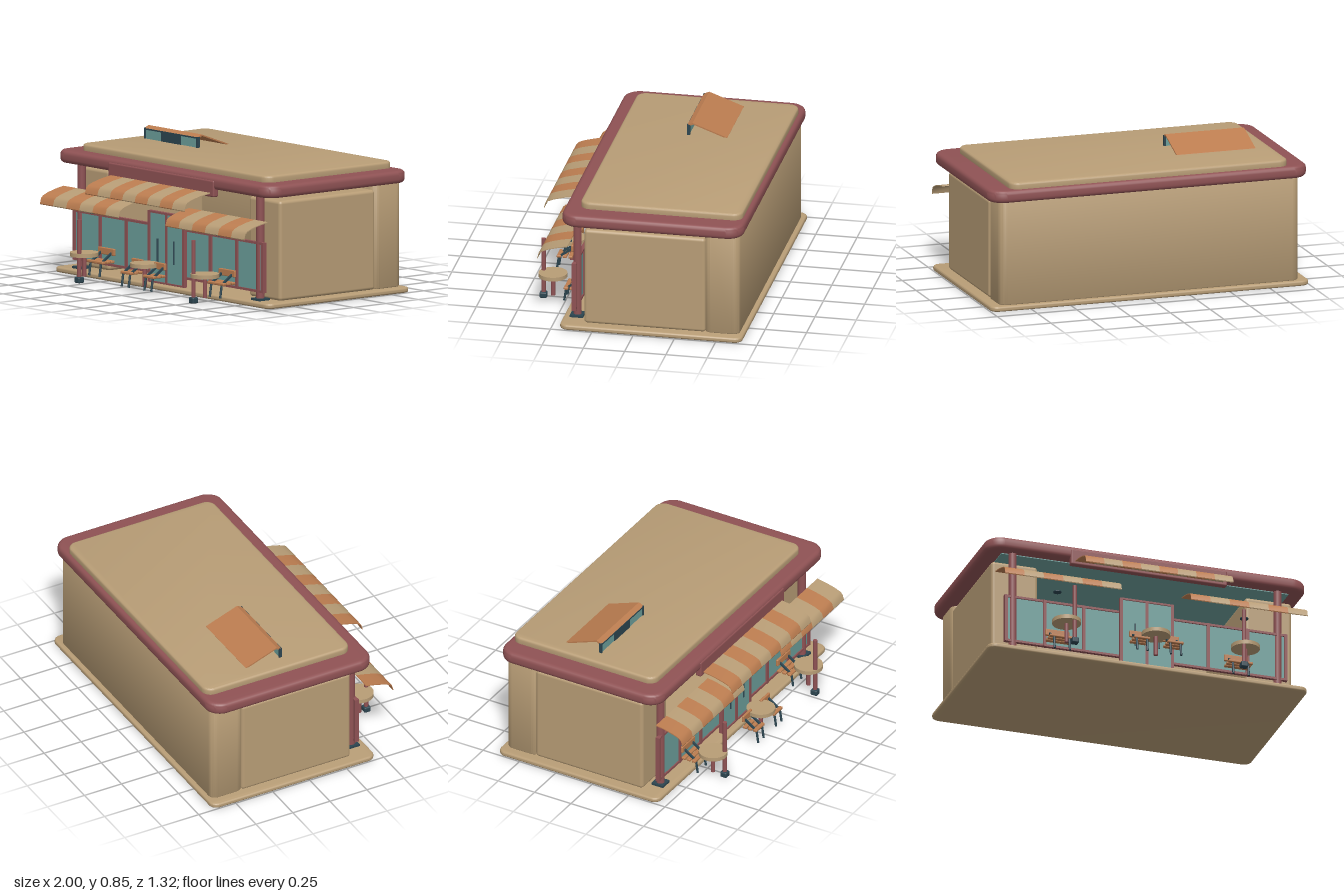
import * as THREE from 'three';
import { toCreasedNormals } from 'three/addons/utils/BufferGeometryUtils.js';
import { RoundedBoxGeometry } from 'three/addons/geometries/RoundedBoxGeometry.js';

const paint = (name, color) => {
  const m = new THREE.MeshStandardMaterial({ color });
  m.name = name;
  return m;
};

export function createModel() {
  const model = new THREE.Group();
  model.name = 'cafe';
  const tan = paint('tan plaster', 0xb89d76);
  const red = paint('dark red trim', 0x8f5254);
  const teal = paint('teal glass', 0x6c9f9b);
  const orange = paint('orange wood', 0xbc7d50);
  const dark = paint('dark blue metal', 0x2c4550);

  const add = (name, geo, mat, x = 0, y = 0, z = 0, parent = model) => {
    const mesh = new THREE.Mesh(geo, mat);
    mesh.name = name;
    mesh.position.set(x, y, z);
    parent.add(mesh);
    return mesh;
  };
  // Box given by its limits on each axis
  const box = (name, mat, [x0, x1], [y0, y1], [z0, z1], parent) =>
    add(name, new THREE.BoxGeometry(x1 - x0, y1 - y0, z1 - z0), mat,
      (x0 + x1) / 2, (y0 + y1) / 2, (z0 + z1) / 2, parent);
  const rod = (name, mat, r, x, y0, y1, z, parent) =>
    add(name, new THREE.CylinderGeometry(r, r, y1 - y0, 16), mat, x, (y0 + y1) / 2, z, parent);

  // Horizontal slab with rounded plan corners and a bevelled rim
  const slab = (name, mat, [x0, x1], [y0, y1], [z0, z1], r, b) => {
    const w = (x1 - x0) / 2 , d = (z1 - z0) / 2;
    const s = new THREE.Shape();
    s.moveTo(-w + r, -d);
    s.lineTo(w - r, -d);
    s.absarc(w - r, -d + r, r, -Math.PI / 2, 0);
    s.absarc(w - r, d - r, r, 0, Math.PI / 2);
    s.absarc(-w + r, d - r, r, Math.PI / 2, Math.PI);
    s.absarc(-w + r, -d + r, r, Math.PI, Math.PI * 1.5);
    const geo = new THREE.ExtrudeGeometry(s, {
      depth: y1 - y0 - 2 * b, bevelSize: b, bevelOffset: -b, bevelThickness: b,
      bevelSegments: 4, curveSegments: 8,
    });
    geo.translate(0, 0, b);
    geo.rotateX(-Math.PI / 2);
    return add(name, toCreasedNormals(geo, 0.6), mat, (x0 + x1) / 2, y0, (z0 + z1) / 2);
  };

  // Thin sheet following a (z, y) profile, extruded across x
  const sheet = (name, mat, profile, x0, x1, t, parent) => {
    const s = new THREE.Shape([
      ...profile.map(([z, y]) => new THREE.Vector2(z, y)),
      ...profile.slice().reverse().map(([z, y]) => new THREE.Vector2(z - t * 0.4, y - t)),
    ]);
    const geo = new THREE.ExtrudeGeometry(s, { depth: x1 - x0, bevelEnabled: false });
    geo.rotateY(-Math.PI / 2);
    return add(name, toCreasedNormals(geo, 0.6), mat, x1, 0, 0, parent);
  };

  // Base, walls and roof
  slab('baseSlab', tan, [-1, 1], [0, 0.032], [-0.655, 0.45], 0.05, 0.012);
  slab('backBlock', tan, [-0.94, 0.94], [0.03, 0.665], [-0.63, -0.415], 0.045, 0.01);
  for (const s of [-1, 1]) {
    add('sideWall', new RoundedBoxGeometry(0.29, 0.6, 0.735, 4, 0.02), tan, s * 0.795, 0.33, -0.0575);
  }
  box('ceiling', teal, [-0.9, 0.9], [0.655, 0.665], [-0.42, 0.37]);
  slab('roofRim', red, [-1, 1], [0.66, 0.735], [-0.655, 0.445], 0.1, 0.025);
  slab('roofTop', tan, [-0.875, 0.87], [0.72, 0.775], [-0.63, 0.35], 0.06, 0.015);
  add('lintel', new RoundedBoxGeometry(0.98, 0.1, 0.04, 3, 0.01), red, 0, 0.665, 0.43);

  // Corner columns
  for (const s of [-1, 1]) {
    rod('column', red, 0.025, s * 0.83, 0.04, 0.665, 0.37);
    box('columnFoot', dark, [s * 0.83 - 0.04, s * 0.83 + 0.04], [0.03, 0.045], [0.33, 0.41]);
  }

  // Shop windows on both sides of the door
  for (const s of [-1, 1]) {
    const span = [Math.min(s * 0.16, s * 0.88), Math.max(s * 0.16, s * 0.88)];
    box('windowGlass', teal, span, [0.085, 0.375], [0.376, 0.384]);
    box('windowSill', red, span, [0.08, 0.094], [0.37, 0.392]);
    box('windowHead', red, span, [0.368, 0.382], [0.37, 0.392]);
    for (const x of [0.39, 0.635, 0.876]) {
      box('mullion', red, [s * x - 0.01, s * x + 0.01], [0.08, 0.382], [0.368, 0.395]);
    }
  }

  // Double door
  box('doorGlass', teal, [-0.16, 0.16], [0.04, 0.455], [0.395, 0.403]);
  for (const x of [-0.16, 0, 0.16]) {
    box('doorFrame', red, [x - 0.009, x + 0.009], [0.03, 0.46], [0.385, 0.41]);
  }
  box('doorHead', red, [-0.165, 0.165], [0.45, 0.462], [0.385, 0.41]);
  box('doorSill', red, [-0.165, 0.165], [0.03, 0.042], [0.385, 0.41]);
  for (const x of [-0.075, 0.075]) rod('doorHandle', dark, 0.005, x, 0.16, 0.3, 0.412);

  // Striped awnings
  const awning = (name, x0, x1, count, profile) => {
    const g = new THREE.Group();
    g.name = name;
    model.add(g);
    const w = (x1 - x0) / count;
    for (let i = 0; i < count; i++) {
      sheet('awningStripe', i % 2 ? tan : orange, profile, x0 + i * w, x0 + (i + 1) * w, 0.005, g);
    }
  };
  const low = [[0.41, 0.517], [0.47, 0.506], [0.53, 0.49], [0.565, 0.476], [0.582, 0.462], [0.592, 0.428]];
  const high = [[0.44, 0.642], [0.52, 0.629], [0.59, 0.611], [0.625, 0.597], [0.64, 0.582], [0.65, 0.55]];
  awning('rightAwning', -0.95, -0.22, 6, low);
  awning('leftAwning', 0.215, 0.945, 6, low);
  awning('centreAwning', -0.463, 0.46, 8, high);

  // Roof light with a sloping cover
  sheet('skylightCover', orange, [[-0.068, 0.838], [-0.1, 0.853], [-0.31, 0.776]], -0.775, -0.28, 0.01);
  box('skylightGlass', teal, [-0.77, -0.285], [0.77, 0.835], [-0.08, -0.072]);
  box('skylightVent', dark, [-0.62, -0.44], [0.775, 0.83], [-0.073, -0.068]);
  for (const x of [-0.77, -0.285]) box('skylightPost', dark, [x - 0.006, x + 0.006], [0.77, 0.84], [-0.084, -0.066]);
  box('skylightHead', dark, [-0.775, -0.28], [0.829, 0.838], [-0.082, -0.067]);

  // Round tables
  for (const x of [-0.56, 0, 0.56]) {
    add('tableTop', new THREE.CylinderGeometry(0.086, 0.086, 0.024, 32), tan, x, 0.168, 0.574);
    rod('tableStem', red, 0.013, x, 0.035, 0.16, 0.573);
  }

  // Slatted chairs; z is the back edge of the seat
  const chair = (x, z, w) => {
    const g = new THREE.Group();
    g.name = 'chair';
    g.position.set(x, 0, z);
    model.add(g);
    for (let i = 0; i < 3; i++) {
      add('seatSlat', new RoundedBoxGeometry(w, 0.016, 0.026, 2, 0.005), orange, 0, 0.112, 0.012 + i * 0.035, g);
    }
    add('backSlat', new RoundedBoxGeometry(w, 0.042, 0.016, 2, 0.005), orange, 0, 0.168, 0, g);
    for (const s of [-1, 1]) {
      const brace = box('chairBrace', dark, [-0.006, 0.006], [-0.006, 0.006], [-0.052, 0.052], g);
      brace.position.set(s * w * 0.32, 0.133, 0.045);
      brace.rotation.x = 0.6;
      const leg = rod('chairLeg', dark, 0.007, s * w * 0.32, 0.027, 0.108, 0.09, g);
      leg.rotation.x = -0.15;
    }
  };
  chair(-0.56, 0.4, 0.15);
  chair(0.56, 0.4, 0.15);
  chair(-0.105, 0.54, 0.1);
  chair(0.105, 0.54, 0.1);

  // Bollards and hanging lamps
  for (const s of [-1, 1]) {
    rod('bollard', red, 0.013, s * 0.53, 0.03, 0.382, 0.637);
    add('bollardFoot', new RoundedBoxGeometry(0.044, 0.036, 0.044, 2, 0.008), dark, s * 0.53, 0.022, 0.637);
    rod('lampDisc', dark, 0.025, s * 0.585, 0.4, 0.406, 0.478);
  }
  return model;
}
